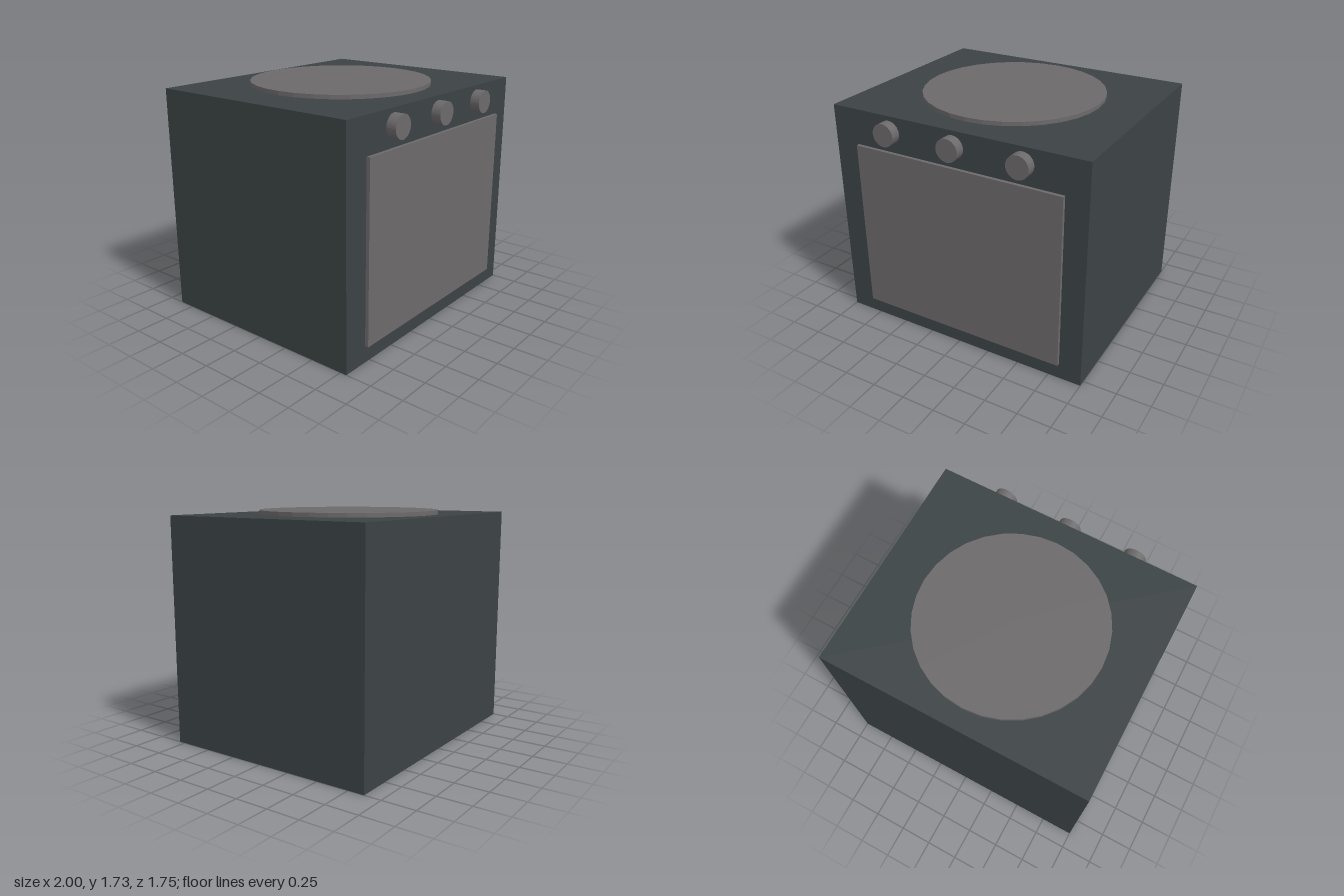
import * as THREE from 'three';

const bodyMaterial = new THREE.MeshStandardMaterial({ color: 0x3c4345 });
const panelMaterial = new THREE.MeshStandardMaterial({ color: 0x6c696a });
const roundMaterial = new THREE.MeshStandardMaterial({ color: 0x6c696a, flatShading: true });

// Box given by its lower and upper corners
function box(name, material, min, max) {
  const size = max.map((v, i) => v - min[i]);
  const mesh = new THREE.Mesh(new THREE.BoxGeometry(...size), material);
  mesh.position.set(...max.map((v, i) => (v + min[i]) / 2));
  mesh.name = name;
  return mesh;
}

function disc(name, radius, height) {
  const mesh = new THREE.Mesh(new THREE.CylinderGeometry(radius, radius, height, 32), roundMaterial);
  mesh.name = name;
  return mesh;
}

export function createModel() {
  const stove = new THREE.Group();
  stove.name = 'stove';

  // Cabinet and the slightly raised oven door
  stove.add(box('body', bodyMaterial, [-1, 0, -0.873], [1, 1.703, 0.8]));
  stove.add(box('ovenDoor', panelMaterial, [-0.8, 0.124, 0.79], [0.832, 1.439, 0.826]));

  // Round hotplate sunk a little into the top
  const hotplate = disc('hotplate', 0.677, 0.05);
  hotplate.position.set(-0.01, 1.708, -0.055);
  stove.add(hotplate);

  // Row of control knobs above the door
  [-0.516, 0.005, 0.531].forEach((x, i) => {
    const knob = disc('knob' + (i + 1), 0.084, 0.09);
    knob.rotation.x = Math.PI / 2;
    knob.position.set(x, 1.586, 0.828);
    stove.add(knob);
  });

  return stove;
}
